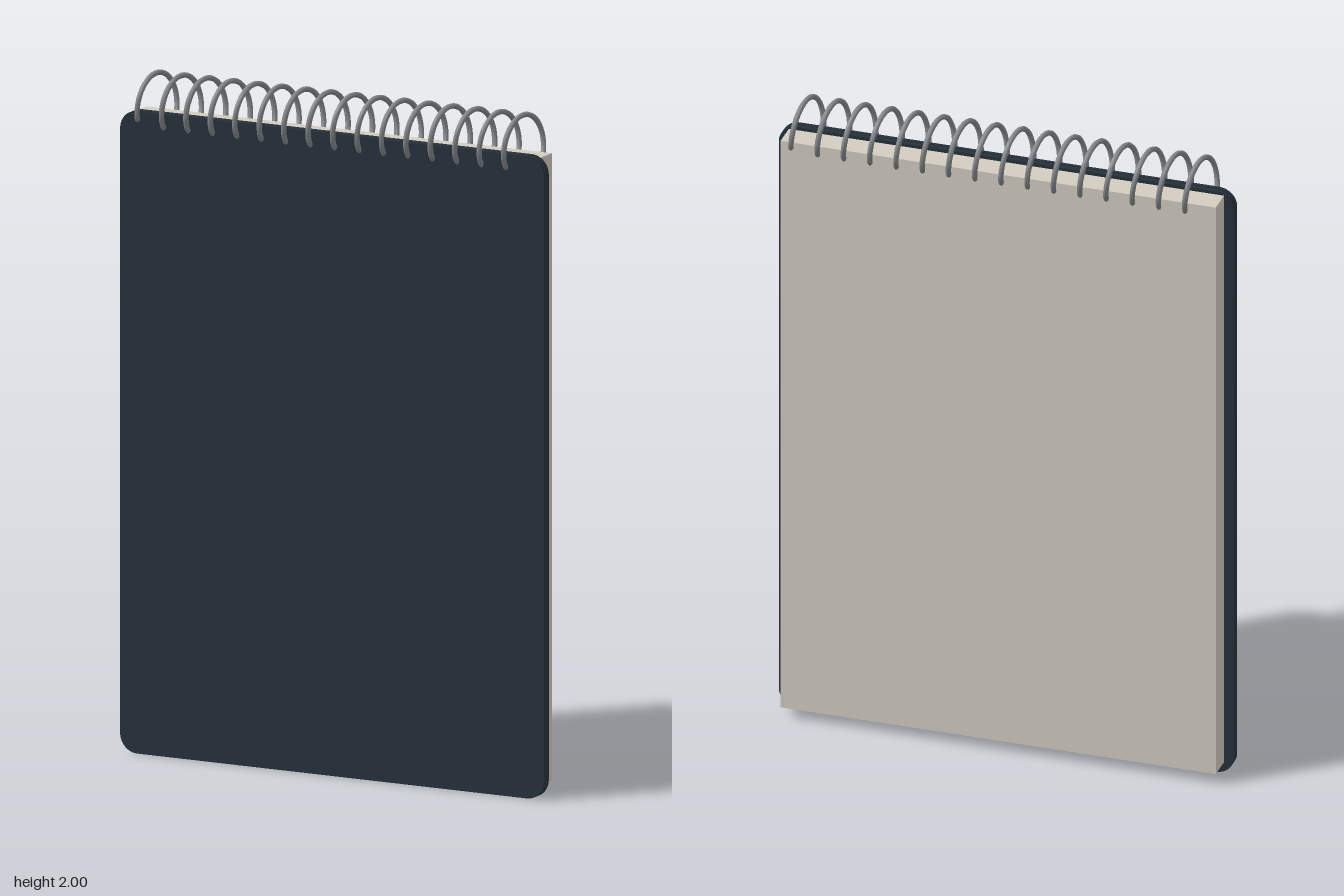
import * as THREE from 'three';

const coverMat = new THREE.MeshStandardMaterial({ name: 'dark slate cover', color: 0x25303a });
const paperMat = new THREE.MeshStandardMaterial({ name: 'warm grey paper', color: 0xd2ccc0 });
const wireMat = new THREE.MeshStandardMaterial({ name: 'steel wire', color: 0x85888c });

const COVER_W = 1.37, COVER_H = 1.885, CORNER = 0.055;

// Upright rectangle with rounded corners, standing on y = 0
function roundedSheet(w, h, r) {
  const s = new THREE.Shape();
  s.absarc(w / 2 - r, r, r, -Math.PI / 2, 0);
  s.absarc(w / 2 - r, h - r, r, 0, Math.PI / 2);
  s.absarc(-w / 2 + r, h - r, r, Math.PI / 2, Math.PI);
  s.absarc(-w / 2 + r, r, r, Math.PI, Math.PI * 1.5);
  s.closePath();
  return s;
}

function cover(name, zBack, zFront) {
  const geo = new THREE.ExtrudeGeometry(roundedSheet(COVER_W, COVER_H, CORNER), {
    depth: zFront - zBack, bevelEnabled: false, curveSegments: 8,
  });
  const mesh = new THREE.Mesh(geo, coverMat);
  mesh.name = name;
  mesh.position.z = zBack;
  return mesh;
}

// Helix running along x, rising at the front and falling at the back
class Helix extends THREE.Curve {
  constructor(radius, pitch, start, end) {
    super();
    Object.assign(this, { radius, pitch, start, end });
  }
  getPoint(u, target = new THREE.Vector3()) {
    const turn = this.start + (this.end - this.start) * u;
    const a = turn * Math.PI * 2;
    return target.set(
      this.pitch * (turn - (this.start + this.end) / 2),
      this.radius * Math.sin(a),
      this.radius * Math.cos(a),
    );
  }
}

export function createModel() {
  const notebook = new THREE.Group();
  notebook.name = 'spiralNotepad';

  // Two stacked cover boards with a fine gap
  notebook.add(cover('frontCover', 0.041, 0.051));
  notebook.add(cover('backCover', 0.021, 0.037));

  // Block of pages
  const pages = new THREE.Mesh(new THREE.BoxGeometry(1.31, 1.84, 0.076), paperMat);
  pages.name = 'pages';
  pages.position.set(0, 0.955, -0.017);
  notebook.add(pages);

  // Wire coil through the top edge, with closed ends
  const coil = new THREE.Group();
  coil.name = 'spiralBinding';
  coil.position.y = 1.91;
  const wireR = 0.008;
  const path = new Helix(0.082, 0.079, -0.09, 15.59);
  const wire = new THREE.Mesh(new THREE.TubeGeometry(path, 640, wireR, 8), wireMat);
  wire.name = 'coilWire';
  coil.add(wire);
  for (const u of [0, 1]) {
    const tip = new THREE.Mesh(new THREE.SphereGeometry(wireR, 8, 6), wireMat);
    tip.name = 'wireTip';
    tip.position.copy(path.getPoint(u));
    coil.add(tip);
  }
  notebook.add(coil);

  return notebook;
}
